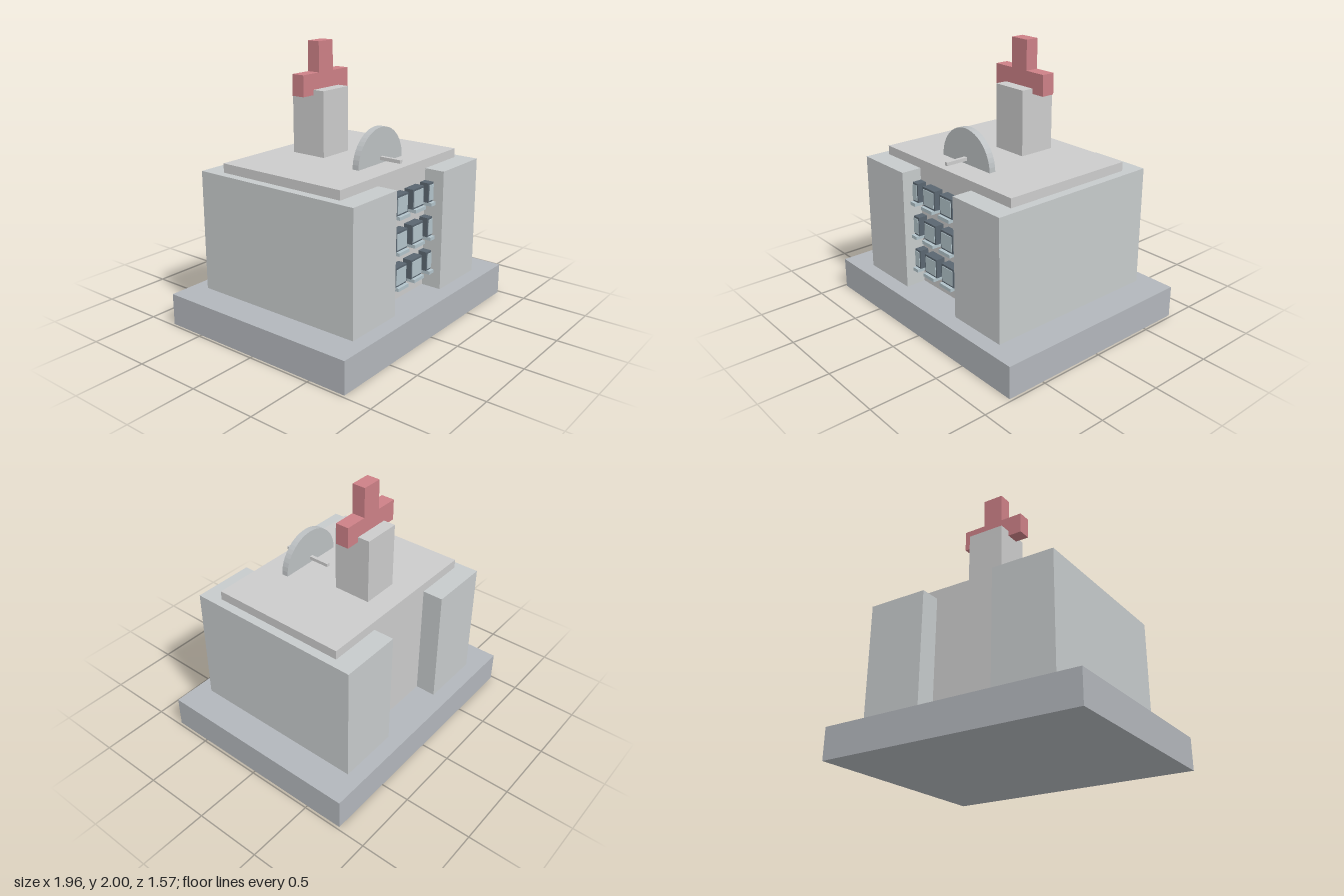
import * as THREE from 'three';

const mat = (color) => new THREE.MeshStandardMaterial({ color, flatShading: true });

export function createModel() {
  const model = new THREE.Group();
  const wall = mat(0xcccccc);
  const wingGrey = mat(0xc6cacb);
  const stone = mat(0xb2b6bb);
  const red = mat(0xcc8086);
  const dark = mat(0x5a6670);
  const glass = mat(0xb2c3ca);

  // Box given by its extents along each axis
  function box(name, material, [x0, x1], [y0, y1], [z0, z1], parent = model) {
    const mesh = new THREE.Mesh(new THREE.BoxGeometry(x1 - x0, y1 - y0, z1 - z0), material);
    mesh.position.set((x0 + x1) / 2, (y0 + y1) / 2, (z0 + z1) / 2);
    mesh.name = name;
    parent.add(mesh);
    return mesh;
  }

  // Plinth, central block and side wings
  box('base', stone, [-0.98, 0.98], [0, 0.235], [-0.785, 0.785]);
  box('mainBlock', wall, [-0.683, 0.683], [0.235, 1.19], [-0.517, 0.517]);
  box('leftWing', wingGrey, [0.285, 0.748], [0.235, 1.123], [-0.67, 0.67]);
  box('rightWing', wingGrey, [-0.748, -0.285], [0.235, 1.123], [-0.67, 0.67]);

  // Roof tower carrying the cross
  box('tower', wall, [-0.14, 0.14], [1.19, 1.668], [-0.347, -0.065]);
  const cross = new THREE.Group();
  cross.name = 'cross';
  model.add(cross);
  box('crossUpright', red, [-0.077, 0.077], [1.63, 2], [-0.256, -0.156], cross);
  box('crossRightArm', red, [-0.245, -0.077], [1.63, 1.783], [-0.256, -0.156], cross);
  box('crossLeftArm', red, [0.077, 0.245], [1.63, 1.783], [-0.256, -0.156], cross);

  // Half disc on the roof with a rod through it
  const discGeo = new THREE.CylinderGeometry(0.256, 0.256, 0.05, 24, 1, false, Math.PI / 2, Math.PI);
  discGeo.rotateX(Math.PI / 2);
  const disc = new THREE.Mesh(discGeo, mat(0xbcc0c2));
  disc.name = 'roofDisc';
  disc.position.set(0, 1.19, 0.308);
  model.add(disc);
  box('rod', wall, [-0.013, 0.013], [1.215, 1.24], [0.12, 0.503]);

  // Grid of windows: frame, pane and sill; outer columns run into the wings
  for (const y of [0.375, 0.635, 0.893]) {
    for (const x of [-0.293, -0.098, 0.097, 0.292]) {
      const win = new THREE.Group();
      win.name = 'window';
      win.position.set(x, y, 0.517);
      model.add(win);
      box('frame', dark, [-0.068, 0.068], [0, 0.143], [-0.02, 0.07], win);
      box('pane', glass, [-0.057, 0.057], [0.013, 0.128], [0.05, 0.075], win);
      box('sill', glass, [-0.062, 0.062], [-0.025, 0], [-0.02, 0.095], win);
    }
  }
  return model;
}
